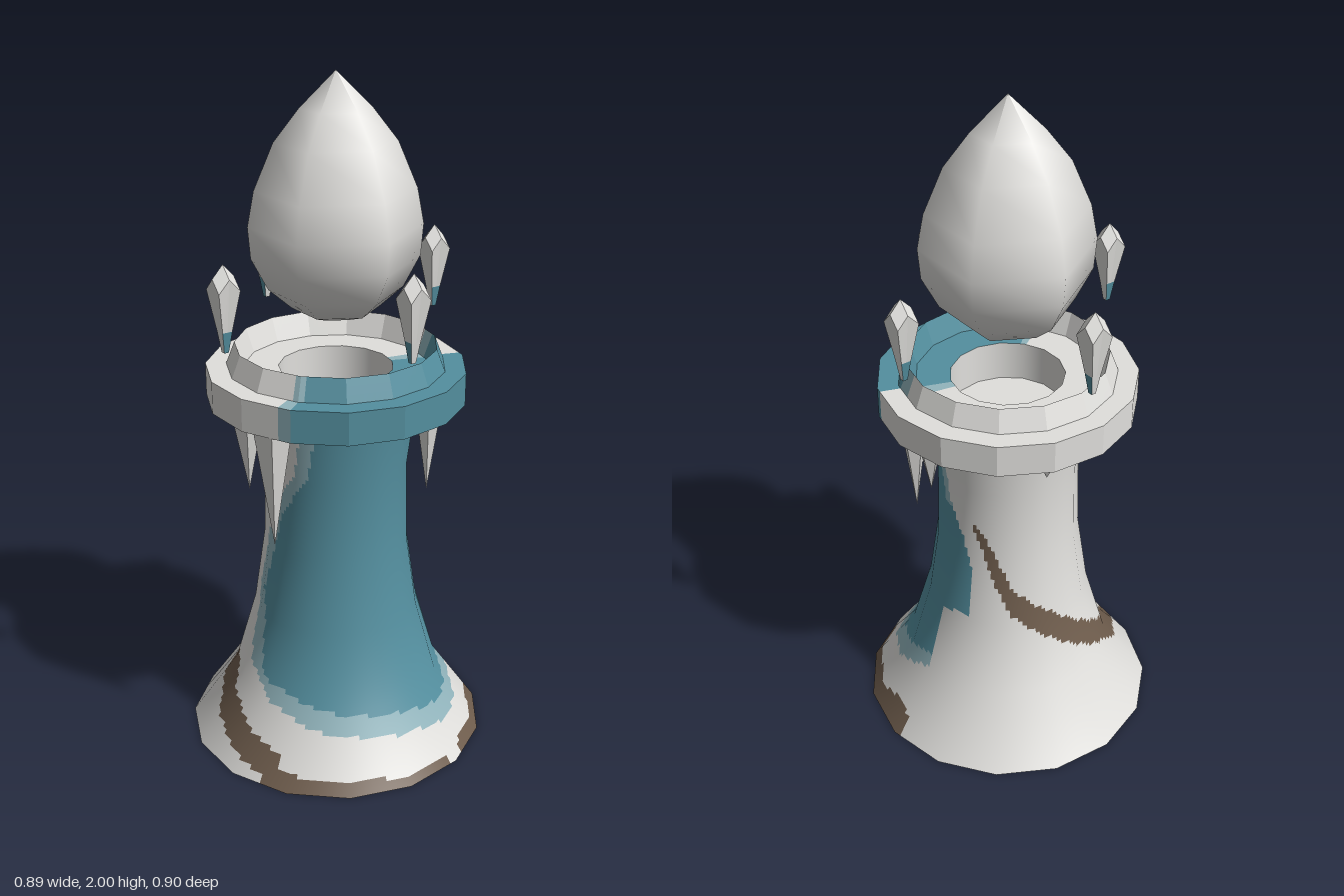
import * as THREE from 'three';

const SIDES = 15, FINE = 8;
const STONE = 0, TEAL = 1, PALE = 2, BROWN = 3;

function makeMaterials() {
  return [['paleStone', 0xe0dfdc], ['teal', 0x548f9f], ['paleTeal', 0x92b5bd], ['brown', 0x6f5d4d]]
    .map(([name, color]) => {
      const m = new THREE.MeshStandardMaterial({ color });
      m.name = name;
      return m;
    });
}

// Piecewise linear lookup in a list of [input, output]
function curve(list, t) {
  if (t <= list[0][0]) return list[0][1];
  for (let i = 1; i < list.length; i++) {
    const [t0, v0] = list[i - 1], [t1, v1] = list[i];
    if (t <= t1) return v0 + (v1 - v0) * (t - t0) / (t1 - t0);
  }
  return list[list.length - 1][1];
}

// Collects triangles per colour and turns them into one grouped geometry
class Patchwork {
  constructor() { this.bins = [[], [], [], []]; }
  quad(color, p, n) {
    for (const i of [0, 1, 2, 0, 2, 3]) this.bins[color].push([p[i], n && n[i]]);
  }
  build() {
    const pos = [], nor = [], geo = new THREE.BufferGeometry();
    this.bins.forEach((bin, color) => {
      if (bin.length) geo.addGroup(pos.length / 3, bin.length, color);
      for (const [p, n] of bin) {
        pos.push(...p);
        if (n) nor.push(...n);
      }
    });
    geo.setAttribute('position', new THREE.Float32BufferAttribute(pos, 3));
    if (nor.length) geo.setAttribute('normal', new THREE.Float32BufferAttribute(nor, 3));
    else geo.computeVertexNormals();
    return geo;
  }
}

// Paint rules: angle in degrees from the front (+z) towards +x
const RIGHT_EDGE = [[0.2, 90], [0.42, 91], [0.44, 113], [0.6, 113], [0.7, 104], [0.8, 92], [0.95, 80], [1.07, 74]];
const LEFT_EDGE = [[0.2, -75], [0.27, -98], [0.5, -113], [0.65, -105], [0.77, -94], [0.9, -70], [1.07, -60]];
const LOW_EDGE = [[-70, 0.24], [-45, 0.2], [0, 0.17], [30, 0.14], [60, 0.18], [90, 0.25]];
const STREAK = [[116, 0.75], [132, 0.62], [146, 0.5], [180, 0.38], [209, 0.28], [237, 0.18], [269, 0.1], [296, 0.05]];

function bodyPaint(a, y) {
  const around = (a + 360) % 360;
  if (around > 115 && around < 300) {
    const half = curve([[115, 0.015], [130, 0.05], [200, 0.045], [300, 0.035]], around);
    if (Math.abs(y - curve(STREAK, around)) < half) return BROWN;
  }
  const rim = curve([[-64, 0.05], [-50, 0.04], [14, 0.02], [24, 0.02], [30, 0.035], [70, 0.045], [84, 0.08], [92, 0.06]], a);
  if (a > -66 && a < 92 && !(a > 15 && a < 23) && y < rim) return BROWN;
  const low = curve(LOW_EDGE, a), left = curve(LEFT_EDGE, y), right = curve(RIGHT_EDGE, y);
  if (y > low && a > left + 12 && a < right - (y > 0.8 ? 10 : 0)) return TEAL;
  if (y > low - 0.05 && a > left && a < right) return PALE;
  return STONE;
}
const topPaint = (a) => (a > -50 && a < 68 ? TEAL : a > -58 && a < 78 ? PALE : STONE);
const collarPaint = (a) => (a > -53 && a < 69 ? TEAL : a > -59 && a < 69 ? PALE : STONE);
function basePaint(a, y, r) {
  const around = (a + 360) % 360;
  if (r > 0.34 && around > 95 && around < 150) return STONE;
  return r > 0.3 && around > 222 && around < 268 ? STONE : BROWN;
}

// Fifteen-sided turned surface, finely split so that paint can follow a rule
function shell(name, profile, paint, mats, { rows = 0.03, flat = false } = {}) {
  const work = new Patchwork();
  const slope = profile.slice(1).map(([r, y], i) =>
    new THREE.Vector2(y - profile[i][1], profile[i][0] - r).normalize());
  const pointNormal = profile.map((_, i) => new THREE.Vector2()
    .add(slope[Math.max(i - 1, 0)]).add(slope[Math.min(i, slope.length - 1)]).normalize());
  const corner = (k) => Math.PI / 2 + k * 2 * Math.PI / SIDES;
  const dirAt = (k, t) => {
    const a = corner(k), b = corner(k + 1);
    return [Math.sin(a) * (1 - t) + Math.sin(b) * t, Math.cos(a) * (1 - t) + Math.cos(b) * t];
  };
  for (let i = 0; i < slope.length; i++) {
    const [r0, y0] = profile[i], [r1, y1] = profile[i + 1];
    const steps = Math.max(1, Math.ceil(Math.hypot(r1 - r0, y1 - y0) / rows));
    const level = (t) => ({
      r: r0 + (r1 - r0) * t, y: y0 + (y1 - y0) * t,
      n: pointNormal[i].clone().lerp(pointNormal[i + 1], t).normalize(),
    });
    for (let s = 0; s < steps; s++) {
      const lo = level(s / steps), hi = level((s + 1) / steps);
      for (let k = 0; k < SIDES; k++) for (let f = 0; f < FINE; f++) {
        const d0 = dirAt(k, f / FINE), d1 = dirAt(k, (f + 1) / FINE), mid = dirAt(k, 0.5);
        const cells = [[lo, d0], [lo, d1], [hi, d1], [hi, d0]];
        const points = cells.map(([l, d]) => [l.r * d[0], l.y, l.r * d[1]]);
        const normals = cells.map(([l, d]) => {
          const [x, z] = flat ? mid : d, len = Math.hypot(x, z);
          return [l.n.x * x / len, l.n.y, l.n.x * z / len];
        });
        const a = Math.atan2(d0[0] + d1[0], d0[1] + d1[1]) * 180 / Math.PI;
        work.quad(paint(a, (lo.y + hi.y) / 2, (lo.r + hi.r) / 2), points, normals);
      }
    }
  }
  const mesh = new THREE.Mesh(work.build(), mats);
  mesh.name = name;
  return mesh;
}

// Faceted shard: kite-shaped crown over a long taper with a stained tip
function crystalGeometry() {
  const work = new Patchwork(), h = 0.033;
  const ring = (size, y, drop) => Array.from({ length: 8 }, (_, k) => {
    const a = k * Math.PI / 4, r = size * (k % 2 ? Math.SQRT2 : 1);
    return [r * Math.sin(a), y - (k % 2 ? drop : 0), r * Math.cos(a)];
  });
  const rings = [ring(0.007, 1.285, 0), ring(0.015, 1.345, 0), ring(h, 1.495, 0.035)];
  const tip = [0, 1.53, 0], foot = [0, 1.285, 0];
  for (let k = 0; k < 8; k++) {
    const j = (k + 1) % 8;
    for (let l = 0; l < 2; l++) {
      const stained = l === 0 && [0, 3, 4, 7].includes(k);
      work.quad(stained ? TEAL : STONE, [rings[l][k], rings[l][j], rings[l + 1][j], rings[l + 1][k]]);
    }
    if (k % 2 === 0) {
      const m = (k + 2) % 8;
      work.quad(STONE, [rings[2][k], rings[2][j], rings[2][m], tip]);
      work.quad(STONE, [rings[0][m], rings[0][j], rings[0][k], foot]);
    }
  }
  return work.build();
}

export function createModel() {
  const model = new THREE.Group();
  model.name = 'iceTower';
  const mats = makeMaterials();

  // Flared column and its underside
  model.add(shell('column', [[0.45, 0], [0.31, 0.2], [0.247, 0.42], [0.215, 0.64], [0.21, 0.88], [0.235, 1.08]],
    bodyPaint, mats, { rows: 0.015 }));
  model.add(shell('underside', [[0, 0], [0.45, 0]], basePaint, mats));

  // Collar, raised rim and sunken bowl
  const flat = { flat: true };
  model.add(shell('collarUnderside', [[0.23, 1.08], [0.375, 1.08]], () => STONE, mats));
  model.add(shell('collarSide', [[0.375, 1.08], [0.375, 1.175]], collarPaint, mats, flat));
  model.add(shell('collarTop', [[0.375, 1.175], [0.315, 1.175]], collarPaint, mats));
  model.add(shell('rimSide', [[0.315, 1.175], [0.29, 1.24]], topPaint, mats, flat));
  model.add(shell('rimInside', [[0.29, 1.24], [0.265, 1.17]], topPaint, mats, flat));
  model.add(shell('bowlLedge', [[0.265, 1.17], [0.165, 1.17]], topPaint, mats));
  model.add(shell('bowlWall', [[0.165, 1.17], [0.165, 1.05]], () => STONE, mats));
  model.add(shell('bowlFloor', [[0.165, 1.05], [0, 1.05]], () => STONE, mats));

  // Floating drop-shaped core
  const drop = [[0, 1.32], [0.06, 1.322], [0.125, 1.345], [0.19, 1.4], [0.237, 1.49], [0.244, 1.58],
    [0.225, 1.68], [0.17, 1.81], [0.1, 1.9], [0, 2]].map(([x, y]) => new THREE.Vector2(x, y));
  const core = new THREE.Mesh(new THREE.LatheGeometry(drop, 6), mats[STONE]);
  core.name = 'floatingCore';
  model.add(core);

  // Four floating crystals
  const shard = crystalGeometry();
  [[0.355, 0], [-0.36, 0], [0, 0.355], [0, -0.357]].forEach(([x, z]) => {
    const crystal = new THREE.Mesh(shard, mats);
    crystal.name = 'crystal';
    crystal.position.set(x - 0.005, 0, z);
    if (x === 0) crystal.rotation.y = Math.PI / 2;
    model.add(crystal);
  });

  // Icicles under the collar: x, z, tip height, radius
  [[-0.295, 0.12, 0.73, 0.055], [-0.3, 0, 0.86, 0.045], [0.255, 0.11, 0.75, 0.05],
    [0.285, -0.015, 0.9, 0.045], [0.08, -0.28, 1.0, 0.045]].forEach(([x, z, tip, radius]) => {
    const height = 1.085 - tip;
    const geo = new THREE.ConeGeometry(radius, height, 5).rotateX(Math.PI).toNonIndexed();
    geo.computeVertexNormals();
    const icicle = new THREE.Mesh(geo, mats[STONE]);
    icicle.name = 'icicle';
    icicle.position.set(x, tip + height / 2, z);
    model.add(icicle);
  });
  return model;
}
